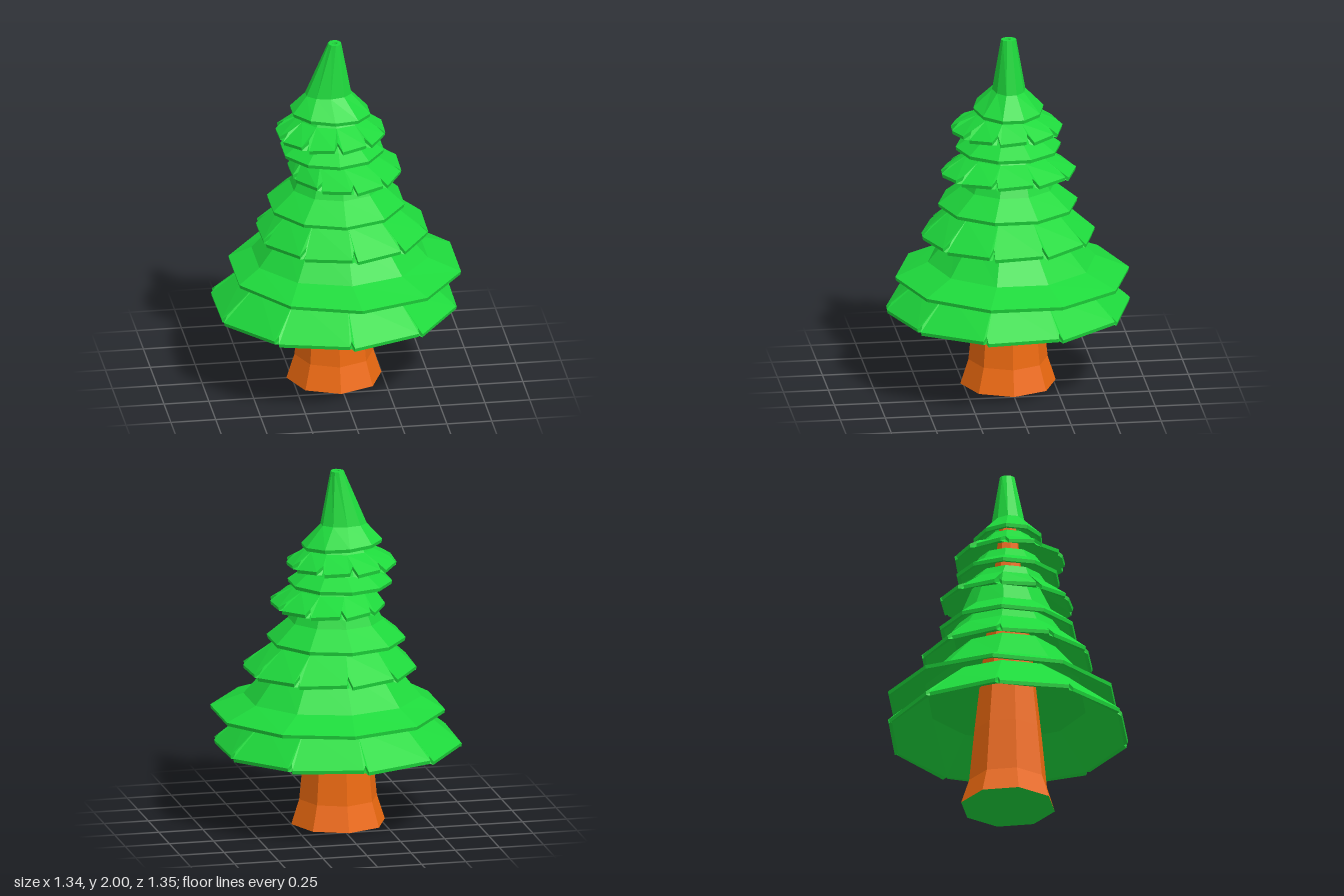
import * as THREE from 'three';

const SIDES = 10;
const leaf = new THREE.MeshStandardMaterial({ color: 0x1ed93c, flatShading: true, side: THREE.DoubleSide });
const bark = new THREE.MeshStandardMaterial({ color: 0xee6a10, flatShading: true });

// Joins closed loops of points, listed top to bottom on the outside
function loft(loops) {
  const pos = [];
  const tri = (a, b, c) => {
    if (new THREE.Triangle(a, b, c).getArea() > 1e-7) pos.push(...a.toArray(), ...b.toArray(), ...c.toArray());
  };
  for (let j = 0; j < loops.length - 1; j++) {
    const up = loops[j], low = loops[j + 1], n = up.length;
    for (let i = 0; i < n; i++) {
      const k = (i + 1) % n;
      tri(up[i], up[k], low[i]);
      tri(up[k], low[k], low[i]);
    }
  }
  const geo = new THREE.BufferGeometry();
  geo.setAttribute('position', new THREE.Float32BufferAttribute(pos, 3));
  geo.computeVertexNormals();
  return geo;
}

// Ten-sided loop filling a box; each corner is three points so it can be notched.
// notch = [width, depth] of the V cut, tilt = slope of the loop along x
function ring([y, x0, x1, z0, z1], notch = null, tilt = 0, slope = 0) {
  const cx = (x0 + x1) / 2, cz = (z0 + z1) / 2;
  const rx = (x1 - x0) / 2 / Math.cos(Math.PI / SIDES), rz = (z1 - z0) / 2;
  const corner = i => {
    const a = (i + 0.5) * 2 * Math.PI / SIDES;
    const x = cx + rx * Math.cos(a);
    return new THREE.Vector3(x, y + tilt * (x - cx), cz + rz * Math.sin(a));
  };
  const pts = [];
  for (let i = 0; i < SIDES; i++) {
    const c = corner(i);
    if (!notch) { pts.push(c, c.clone(), c.clone()); continue; }
    const [w, d] = notch;
    const t = w / 2 / c.distanceTo(corner(i + 1));
    const before = c.clone().lerp(corner(i - 1), t);
    const after = c.clone().lerp(corner(i + 1), t);
    before.y -= 0.006;
    after.y += 0.006;
    const cut = c.clone();
    const s = 1 - d / Math.hypot(c.x - cx, c.z - cz);
    cut.set(cx + (c.x - cx) * s, c.y + d * slope, cz + (c.z - cz) * s);
    pts.push(before, cut, after);
  }
  return pts;
}

// Hollow skirt of branches: outer rings, a thick rim, then the underside
function tier(name, rings, notch, innerRadius, tilt = 0) {
  const rim = rings[rings.length - 1], above = rings[rings.length - 2], top = rings[0];
  const slope = (above[0] - rim[0]) / (rim[2] - above[2]);
  const inset = (r, dy, d) => [r[0] + dy, r[1] + d, r[2] - d, r[3] + d, r[4] - d];
  const loops = rings.slice(0, -1).map(r => ring(r));
  loops.push(ring(rim, notch, tilt, slope));
  loops.push(ring(inset(rim, -0.02, 0.004), notch, tilt, slope));
  loops.push(ring(inset(rim, -0.016, 0.025), null, tilt));
  for (let i = rings.length - 2; i > 0; i--) loops.push(ring(inset(rings[i], -0.02, 0.02)));
  const r = innerRadius;
  loops.push(ring([top[0] - 0.02, -0.015 - r, -0.015 + r, -r, r]));
  loops.push(loops[0]);
  const mesh = new THREE.Mesh(loft(loops), leaf);
  mesh.name = name;
  return mesh;
}

export function createModel() {
  const tree = new THREE.Group();
  tree.name = 'pineTree';

  // Flared eight-sided trunk running up inside the branches
  const profile = [[0.265, 0], [0.22, 0.14], [0.19, 0.45], [0.14, 0.9], [0.09, 1.3], [0.05, 1.68]];
  const trunk = new THREE.Mesh(
    new THREE.LatheGeometry(profile.map(p => new THREE.Vector2(...p)), 8), bark);
  trunk.name = 'trunk';
  trunk.position.x = -0.015;
  tree.add(trunk);

  const base = new THREE.Mesh(new THREE.CircleGeometry(0.265, 8), leaf);
  base.name = 'trunkBase';
  base.rotation.x = Math.PI / 2;
  base.position.x = -0.015;
  tree.add(base);

  // Branch tiers from the ground up; rings are [y, xMin, xMax, zMin, zMax]
  tree.add(
    tier('branchTier1', [
      [0.72, -0.37, 0.35, -0.37, 0.36], [0.64, -0.46, 0.44, -0.47, 0.46],
      [0.46, -0.67, 0.64, -0.68, 0.68]], [0.03, 0.03], 0.17),
    tier('branchTier2', [
      [0.92, -0.30, 0.33, -0.30, 0.29], [0.73, -0.45, 0.49, -0.48, 0.45],
      [0.66, -0.57, 0.665, -0.665, 0.635]], null, 0.16),
    tier('branchTier3', [
      [1.10, -0.25, 0.27, -0.27, 0.27], [1.03, -0.29, 0.32, -0.32, 0.32],
      [0.895, -0.43, 0.49, -0.48, 0.49]], [0.035, 0.055], 0.13),
    tier('branchTier4', [
      [1.31, -0.18, 0.18, -0.20, 0.19], [1.16, -0.25, 0.25, -0.26, 0.26],
      [1.06, -0.37, 0.36, -0.385, 0.39]], null, 0.11),
    tier('branchTier5', [
      [1.39, -0.18, 0.17, -0.18, 0.19], [1.34, -0.20, 0.21, -0.23, 0.23],
      [1.26, -0.26, 0.345, -0.375, 0.385]], [0.04, 0.05], 0.09),
    tier('branchTier6', [
      [1.50, -0.17, 0.14, -0.16, 0.16], [1.44, -0.21, 0.17, -0.20, 0.20],
      [1.38, -0.30, 0.25, -0.295, 0.29]], null, 0.08),
    tier('branchTier7', [
      [1.62, -0.15, 0.10, -0.12, 0.12], [1.56, -0.20, 0.15, -0.17, 0.17],
      [1.485, -0.33, 0.26, -0.31, 0.32]], [0.05, 0.05], 0.06),
    tier('treeTop', [
      [1.97, -0.02, 0, -0.01, 0.01], [2.0, -0.025, 0.005, -0.015, 0.015],
      [2.0, -0.045, 0.025, -0.045, 0.04], [1.70, -0.17, 0.08, -0.10, 0.085],
      [1.60, -0.25, 0.18, -0.20, 0.19]], null, 0.008, -0.06));
  return tree;
}
